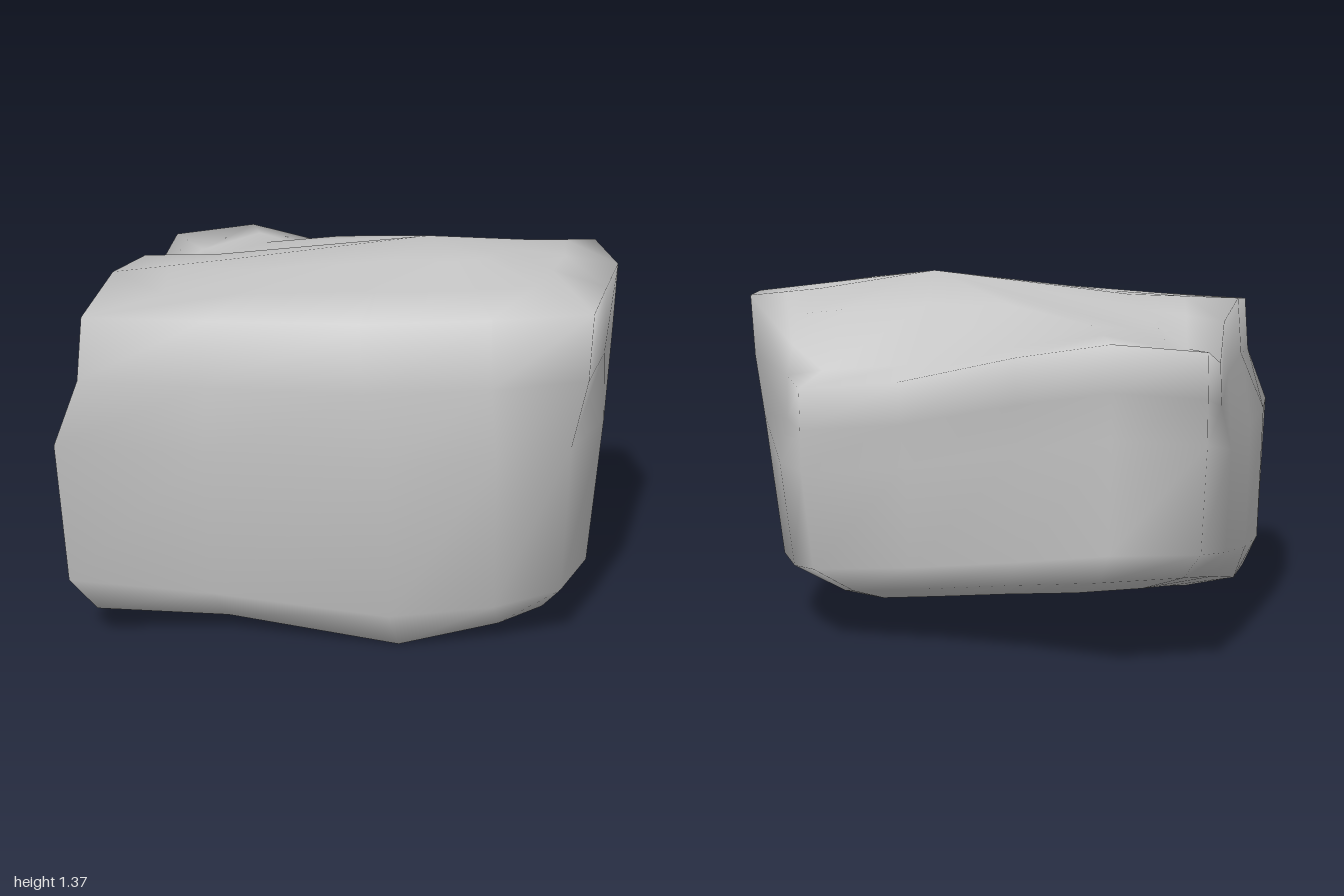
import * as THREE from 'three';

// Columns around the boulder: top edge x,z,y | widest x,z | bottom edge x,z,y
const COLUMNS = [
  [-0.89, 0.72, 1.23, -0.98, 0.84, -0.87, 0.78, 0.13],
  [-0.45, 0.75, 1.24, -0.45, 0.82, -0.40, 0.68, 0.08],
  [0.10, 0.76, 1.25, 0.20, 0.82, 0.24, 0.72, 0.015],
  [0.55, 0.70, 1.26, 0.58, 0.77, 0.60, 0.56, 0.04],
  [0.90, 0.62, 1.27, 0.84, 0.67, 0.76, 0.48, 0.08],
  [0.95, 0.30, 1.28, 0.96, 0.38, 0.76, 0.34, 0.09],
  [1.00, 0.00, 1.29, 0.95, 0.00, 0.60, 0.05, 0.10],
  [0.92, -0.34, 1.30, 0.90, -0.27, 0.56, -0.25, 0.14],
  [0.72, -0.52, 1.02, 0.77, -0.48, 0.54, -0.42, 0.18],
  [0.63, -0.66, 0.99, 0.63, -0.65, 0.46, -0.57, 0.22],
  [0.25, -0.70, 1.03, 0.23, -0.68, 0.18, -0.60, 0.25],
  [-0.20, -0.79, 1.14, -0.20, -0.75, -0.15, -0.68, 0.30],
  [-0.54, -0.85, 1.20, -0.54, -0.83, -0.50, -0.81, 0.36],
  [-0.86, -0.76, 1.17, -0.86, -0.74, -0.78, -0.68, 0.36],
  [-0.88, -0.48, 1.10, -0.92, -0.42, -0.86, -0.40, 0.30],
  [-0.87, -0.20, 1.22, -0.97, -0.10, -0.92, -0.12, 0.23],
  [-0.89, 0.25, 1.27, -1.00, 0.25, -0.93, 0.30, 0.18],
];
// Crown ridge inside each column: x, y, z, and the dip on the way up to it
const CROWN = [
  [-0.40, 1.29, 0.25, 0], [-0.20, 1.31, 0.25, 0], [0.15, 1.34, 0.25, 0],
  [0.40, 1.34, 0.22, 0], [0.50, 1.345, 0.20, 0], [0.55, 1.345, 0.10, 0],
  [0.60, 1.34, 0.00, 0], [0.68, 1.32, -0.22, 0], [0.70, 1.24, -0.44, 0],
  [0.52, 1.26, -0.42, 0.08], [0.22, 1.28, -0.38, 0.08], [-0.10, 1.28, -0.36, 0.06],
  [-0.42, 1.22, -0.46, 0], [-0.56, 1.20, -0.36, 0.03], [-0.62, 1.21, -0.25, 0.02],
  [-0.58, 1.25, -0.12, 0], [-0.48, 1.29, 0.10, 0],
];
const PEAK = [0.28, 1.38, 0];
const BASE = [0, 0.12, 0];
const lerp = THREE.MathUtils.lerp;

// Eight points up one column, from the underside to the crown
function columnPoints([tx, tz, ty, mx, mz, bx, bz, by], i) {
  const [cx, cy, cz, dip] = CROWN[i];
  const y = (t) => lerp(by, ty, t);
  return [
    [bx * 0.8, by * 0.8, bz * 0.85],
    [bx, by, bz],
    [lerp(bx, mx, 0.8), y(0.12), lerp(bz, mz, 0.8)],
    [mx, y(0.6), mz],
    [lerp(mx, tx, 0.85), y(0.8), lerp(mz, tz, 0.6)],
    [tx, ty, tz],
    [lerp(tx, cx, 0.5), lerp(ty, cy, 0.5) - dip, lerp(tz, cz, 0.5)],
    [cx, cy, cz],
  ];
}

// Skin the columns and close both ends with fans
function boulderGeometry() {
  const n = COLUMNS.length;
  const rings = 8;
  const positions = COLUMNS.map(columnPoints).flat(2);
  positions.push(...BASE, ...PEAK);
  const base = n * rings;
  const peak = base + 1;
  const index = [];
  for (let i = 0; i < n; i++) {
    const a = i * rings;
    const b = ((i + 1) % n) * rings;
    for (let j = 0; j < rings - 1; j++) {
      index.push(a + j, b + j, b + j + 1, a + j, b + j + 1, a + j + 1);
    }
    index.push(b, a, base, a + rings - 1, b + rings - 1, peak);
  }
  const geometry = new THREE.BufferGeometry();
  geometry.setAttribute('position', new THREE.Float32BufferAttribute(positions, 3));
  geometry.setIndex(index);
  geometry.computeVertexNormals();
  return geometry;
}

export function createModel() {
  const stone = new THREE.MeshStandardMaterial({ color: 0xc4c4c4 });
  stone.name = 'stone grey';
  const boulder = new THREE.Mesh(boulderGeometry(), stone);
  boulder.name = 'boulder';
  const group = new THREE.Group();
  group.name = 'rock';
  group.add(boulder);
  return group;
}
